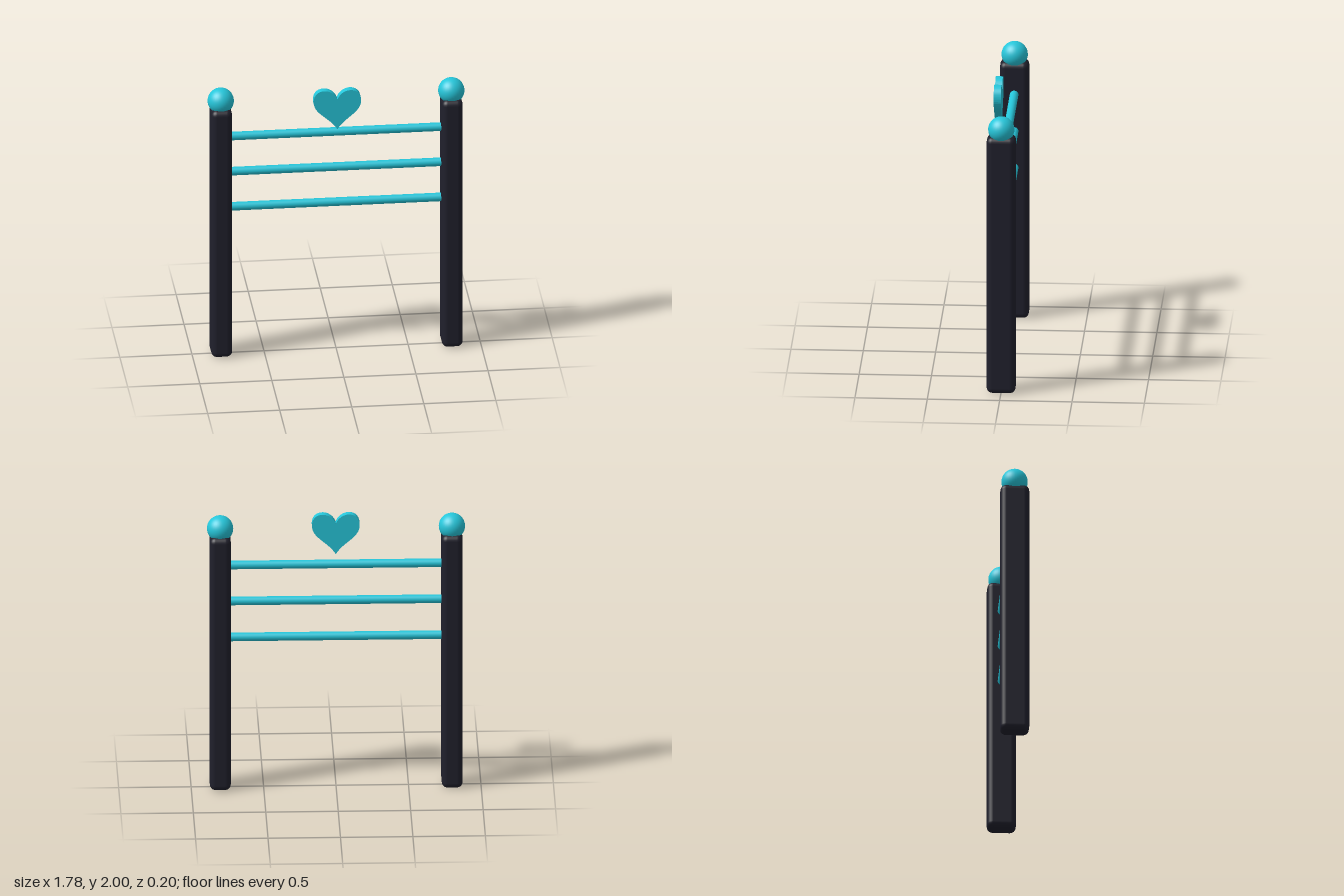
import * as THREE from 'three';
import { RoundedBoxGeometry } from 'three/addons/geometries/RoundedBoxGeometry.js';

export function createModel() {
  const model = new THREE.Group();
  model.name = 'headboardFrame';

  const cyan = new THREE.MeshStandardMaterial({ color: 0x26c6da });
  cyan.name = 'cyan';
  const charcoal = new THREE.MeshStandardMaterial({ color: 0x20202c });
  charcoal.name = 'charcoal';

  function add(name, geometry, material, x, y, z) {
    const mesh = new THREE.Mesh(geometry, material);
    mesh.name = name;
    mesh.position.set(x, y, z);
    model.add(mesh);
    return mesh;
  }

  // Rounded posts, each topped with a ball
  const postHeight = 1.865;
  const postGeometry = new RoundedBoxGeometry(0.145, postHeight, 0.2, 3, 0.04);
  const ballGeometry = new THREE.SphereGeometry(0.091, 32, 24);
  for (const [side, x] of [['left', 0.8], ['right', -0.8]]) {
    add(side + 'Post', postGeometry, charcoal, x, postHeight / 2, 0);
    add(side + 'Ball', ballGeometry, cyan, x, 1.909, 0);
  }

  // Three round rails between the posts
  const railGeometry = new THREE.CylinderGeometry(0.03, 0.03, 1.5, 24);
  railGeometry.rotateZ(Math.PI / 2);
  [['topRail', 1.637], ['middleRail', 1.371], ['bottomRail', 1.105]].forEach(
    ([name, y]) => add(name, railGeometry, cyan, 0, y, 0));

  // Heart plate, in front of the rails
  const heart = new THREE.Shape();
  heart.moveTo(0, 0);
  heart.bezierCurveTo(0.05, 0.09, 0.165, 0.12, 0.165, 0.212);
  heart.bezierCurveTo(0.165, 0.262, 0.135, 0.293, 0.091, 0.293);
  heart.bezierCurveTo(0.05, 0.293, 0.015, 0.265, 0, 0.226);
  heart.bezierCurveTo(-0.015, 0.265, -0.05, 0.293, -0.091, 0.293);
  heart.bezierCurveTo(-0.135, 0.293, -0.165, 0.262, -0.165, 0.212);
  heart.bezierCurveTo(-0.165, 0.12, -0.05, 0.09, 0, 0);
  const heartGeometry = new THREE.ExtrudeGeometry(heart, {
    depth: 0.05, bevelEnabled: false, curveSegments: 16,
  });
  add('heart', heartGeometry, cyan, 0, 1.692, 0.04);

  return model;
}
